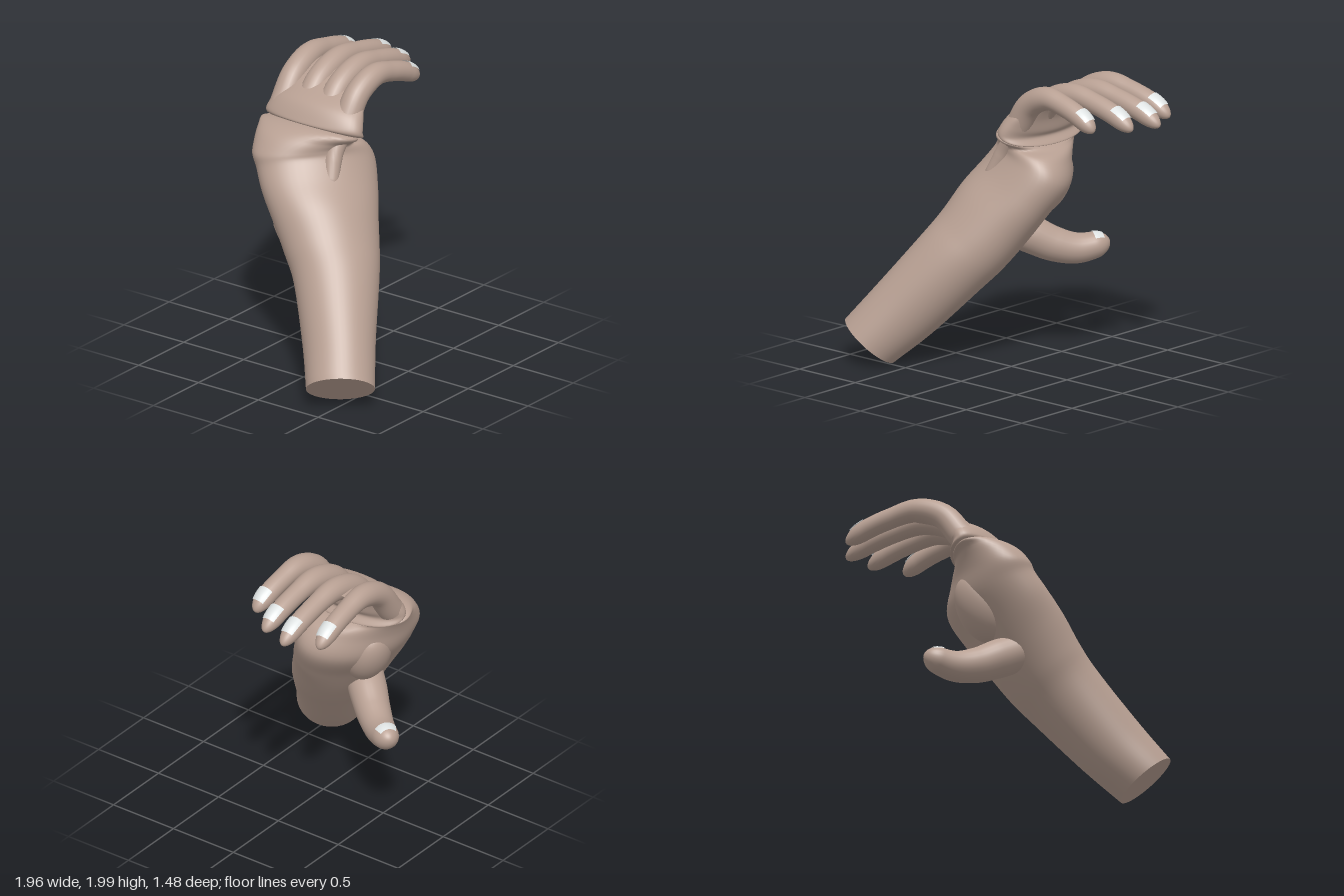
import * as THREE from 'three';
import { mergeVertices } from 'three/addons/utils/BufferGeometryUtils.js';

const V = (p) => new THREE.Vector3(...p);
const TAU = Math.PI * 2;

// Skin a surface function surf(t, angle) over a range of t and angle
function skinOver(surf, nT, nA, t0 = 0, t1 = 1, a0 = 0, a1 = TAU) {
  const pos = [], idx = [];
  for (let i = 0; i <= nT; i++) {
    for (let j = 0; j <= nA; j++) {
      const p = surf(t0 + (t1 - t0) * i / nT, a0 + (a1 - a0) * j / nA);
      pos.push(p.x, p.y, p.z);
      if (i < nT && j < nA) {
        const a = i * (nA + 1) + j, c = a + nA + 1;
        idx.push(a, a + 1, c, a + 1, c + 1, c);
      }
    }
  }
  let g = new THREE.BufferGeometry();
  g.setAttribute('position', new THREE.Float32BufferAttribute(pos, 3));
  g.setIndex(idx);
  g = mergeVertices(g, 1e-5);
  g.computeVertexNormals();
  return g;
}

// Surface through elliptical rings, each [centre, half axis u, half axis v]
function ringSurface(rings) {
  const [c, u, v] = [0, 1, 2].map((k) =>
    new THREE.CatmullRomCurve3(rings.map((r) => V(r[k])), false, 'catmullrom', 0.5));
  return (t, a) => c.getPoint(t)
    .addScaledVector(u.getPoint(t), Math.cos(a))
    .addScaledVector(v.getPoint(t), Math.sin(a));
}

// Round tapering digit along a path, with a domed tip; angle PI is its upper side
function digitSurface(points, radii, lift = 0) {
  const path = new THREE.CatmullRomCurve3(points.map(V));
  const tip = 0.86;
  return (t, a) => {
    const d = path.getTangentAt(t);
    const v = new THREE.Vector3(d.z, 0, -d.x).normalize();
    const u = v.clone().cross(d);
    const f = t * (radii.length - 1), i = Math.min(Math.floor(f), radii.length - 2);
    let r = THREE.MathUtils.lerp(radii[i], radii[i + 1], f - i);
    if (t > tip) r *= Math.sqrt(Math.max(0, 1 - ((t - tip) / (1 - tip)) ** 2));
    r += lift;
    return path.getPointAt(t).addScaledVector(u, r * Math.cos(a)).addScaledVector(v, r * Math.sin(a));
  };
}

export function createModel() {
  const group = new THREE.Group();
  const skin = new THREE.MeshStandardMaterial({ color: 0xb8a093 });
  skin.name = 'skin';
  const nail = new THREE.MeshStandardMaterial({ color: 0xdde1e1, side: THREE.DoubleSide });
  nail.name = 'nail';
  const add = (name, geo, mat = skin) => {
    const m = new THREE.Mesh(geo, mat);
    m.name = name;
    group.add(m);
    return m;
  };

  // Forearm: ellipses square to the sloping axis, widening to the heel of the hand
  const U = V([0.83, -0.21, 0.52]), W = V([0.287, -0.636, -0.718]);
  const slant = (c, a, b) => [c, U.clone().multiplyScalar(a).toArray(), W.clone().multiplyScalar(b).toArray()];
  const base = [-0.793, 0.15, 0.53];
  const arm = ringSurface([
    [base, [0.18, -0.06, 0.125], [0.06, -0.13, -0.17]],
    slant([-0.605, 0.383, 0.378], 0.245, 0.247),
    slant([-0.375, 0.7, 0.184], 0.29, 0.262),
    slant([-0.28, 0.852, 0.075], 0.327, 0.265),
    slant([-0.197, 1.024, -0.04], 0.367, 0.265),
    [[-0.11, 1.19, -0.155], [0.34, -0.065, 0.21], [0.075, -0.145, -0.19]],
    [[-0.035, 1.345, -0.25], [0.36, -0.03, 0.2], [0.09, -0.1, -0.22]],
    [[-0.055, 1.46, -0.295], [0.32, -0.005, 0.19], [0.08, -0.04, -0.245]],
    [[-0.06, 1.54, -0.315], [0.24, -0.04, 0.1], [0.03, 0, -0.31]],
    [[-0.02, 1.59, -0.295], [0.15, -0.05, 0], [0, 0, -0.36]],
    [[0.01, 1.63, -0.287], [0.01, 0, 0], [0, 0, -0.02]],
  ]);
  add('forearm', skinOver(arm, 64, 48));

  // Flat cut end of the forearm
  add('forearmEnd', skinOver((t, a) => V(base).lerp(arm(0, a), t), 1, 48));

  // Cuff-like fold, knuckles and webbing
  const hand = ringSurface([
    [[0.01, 1.58, -0.285], [0.08, -0.03, 0], [0, 0, -0.28]],
    [[0.015, 1.585, -0.285], [0.153, -0.055, 0], [0, 0, -0.375]],
    [[0.0, 1.63, -0.285], [0.135, -0.045, 0], [0, 0, -0.39]],
    [[0.045, 1.7, -0.285], [0.11, -0.07, 0], [0, 0, -0.365]],
    [[0.12, 1.775, -0.29], [0.058, -0.053, 0], [0, 0, -0.32]],
    [[0.21, 1.84, -0.34], [0.022, -0.035, 0], [0, 0, -0.26]],
    [[0.31, 1.882, -0.385], [0.01, -0.03, 0], [0, 0, -0.2]],
    [[0.42, 1.9, -0.385], [0, -0.01, 0], [0, 0, -0.19]],
  ]);
  add('knuckles', skinOver(hand, 50, 48));

  // Ball of the thumb and wrist tendon
  const ball = add('thumbBall', new THREE.SphereGeometry(1, 32, 20));
  ball.scale.set(0.17, 0.25, 0.14);
  ball.position.set(-0.02, 1.21, -0.365);
  ball.quaternion.setFromUnitVectors(V([0, 1, 0]), V([0.25, 0.85, -0.42]).normalize());
  add('wristTendon', skinOver(digitSurface(
    [[-0.02, 1.59, -0.04], [-0.1, 1.47, -0.045], [-0.2, 1.27, 0.0]], [0.06, 0.06, 0.05]), 24, 20));

  // A digit with its nail plate between two places along its length
  const addDigit = (name, points, radii, nailStart, nailEnd) => {
    const s = digitSurface(points, radii);
    add(name, skinOver((t, a) => s(Math.sin(t * Math.PI / 2), a), 48, 24));
    add(name + 'Nail', skinOver(digitSurface(points, radii, 0.006), 8, 10,
      nailStart, nailEnd, Math.PI - 0.85, Math.PI + 0.85), nail);
  };

  // Four fingers: name, reach in x, root z, tip z
  const fingers = [
    ['indexFinger', 0.87, -0.57, -0.61],
    ['middleFinger', 0.98, -0.385, -0.39],
    ['ringFinger', 0.915, -0.21, -0.19],
    ['littleFinger', 0.75, -0.04, 0.01],
  ];
  const bend = [[0.03, 1.66], [0.185, 1.835], [0.41, 1.915], [0.64, 1.89], [0.84, 1.84], [1, 1.77]];
  for (const [name, reach, z0, z1] of fingers) {
    addDigit(name, bend.map(([x, y]) => [x * reach, y, z0 + (z1 - z0) * x]),
      [0.09, 0.086, 0.082, 0.07, 0.068, 0.06], 0.82, 0.93);
  }

  // Thumb curling up from below the palm
  addDigit('thumb',
    [[-0.21, 0.93, -0.17], [-0.1, 0.845, -0.3], [0.0, 0.77, -0.42], [0.1, 0.733, -0.55], [0.225, 0.77, -0.73]],
    [0.13, 0.13, 0.117, 0.1, 0.08], 0.865, 0.95);

  return group;
}
